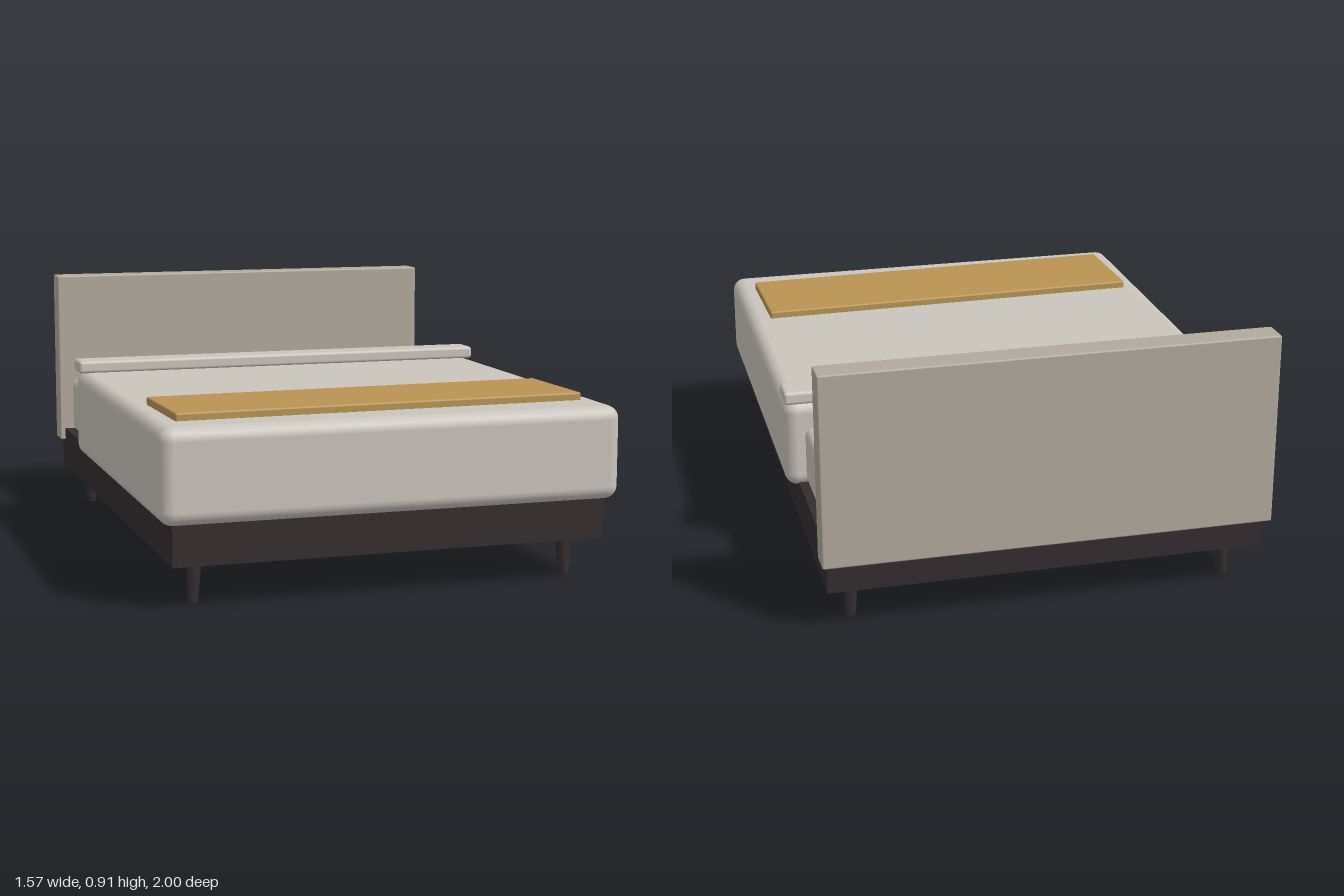
import * as THREE from 'three';
import { RoundedBoxGeometry } from 'three/addons/geometries/RoundedBoxGeometry.js';

function mat(name, color) {
  const m = new THREE.MeshStandardMaterial({ color });
  m.name = name;
  return m;
}

export function createModel() {
  const bed = new THREE.Group();
  bed.name = 'bed';

  const darkWood = mat('dark wood', 0x352c2e);
  const upholstery = mat('taupe upholstery', 0xb1a99e);
  const linen = mat('pale linen', 0xcac5bc);
  const rose = mat('rose cotton', 0xc89a90);
  const ochre = mat('ochre wool', 0xb99452);

  function add(name, geometry, material, x, y, z) {
    const mesh = new THREE.Mesh(geometry, material);
    mesh.name = name;
    mesh.position.set(x, y, z);
    bed.add(mesh);
    return mesh;
  }

  // Box with rounded edges, given by its limits: [min, max] on each axis
  function softBox(name, material, [x0, x1], [y0, y1], [z0, z1], radius, segments = 3) {
    const geometry = new RoundedBoxGeometry(x1 - x0, y1 - y0, z1 - z0, segments, radius);
    return add(name, geometry, material, (x0 + x1) / 2, (y0 + y1) / 2, (z0 + z1) / 2);
  }

  // Base and headboard
  add('bedFrame', new THREE.BoxGeometry(1.48, 0.15, 1.92), darkWood, 0, 0.215, 0);
  softBox('headboard', upholstery, [-0.76, 0.76], [0.245, 0.905], [-1, -0.905], 0.006, 2);

  // Tapered legs, splayed slightly outwards
  for (const sx of [-1, 1]) {
    for (const sz of [-1, 1]) {
      const leg = add('leg', new THREE.CylinderGeometry(0.026, 0.019, 0.15, 16), darkWood,
        sx * 0.647, 0.075, sz * 0.847);
      leg.rotation.set(-sz * 0.04, 0, sx * 0.04);
    }
  }

  // Bedding
  softBox('mattress', linen, [-0.715, 0.715], [0.285, 0.495], [-0.885, 0.9], 0.03);
  softBox('duvet', linen, [-0.785, 0.785], [0.275, 0.59], [-0.42, 1], 0.045);
  softBox('duvetFold', linen, [-0.785, 0.785], [0.588, 0.634], [-0.438, -0.327], 0.012);

  // Pillows, leaning with the front edge raised
  for (const sx of [-1, 1]) {
    const pillow = add('pillow', new RoundedBoxGeometry(0.565, 0.105, 0.315, 3, 0.028), rose,
      sx * 0.36, 0.532, -0.651);
    pillow.rotation.x = -0.14;
  }

  // Throw blanket, laid a little askew
  const blanket = add('throwBlanket', new RoundedBoxGeometry(1.418, 0.032, 0.376, 2, 0.007), ochre,
    0, 0.6, 0.659);
  blanket.rotation.y = 0.026;

  return bed;
}
